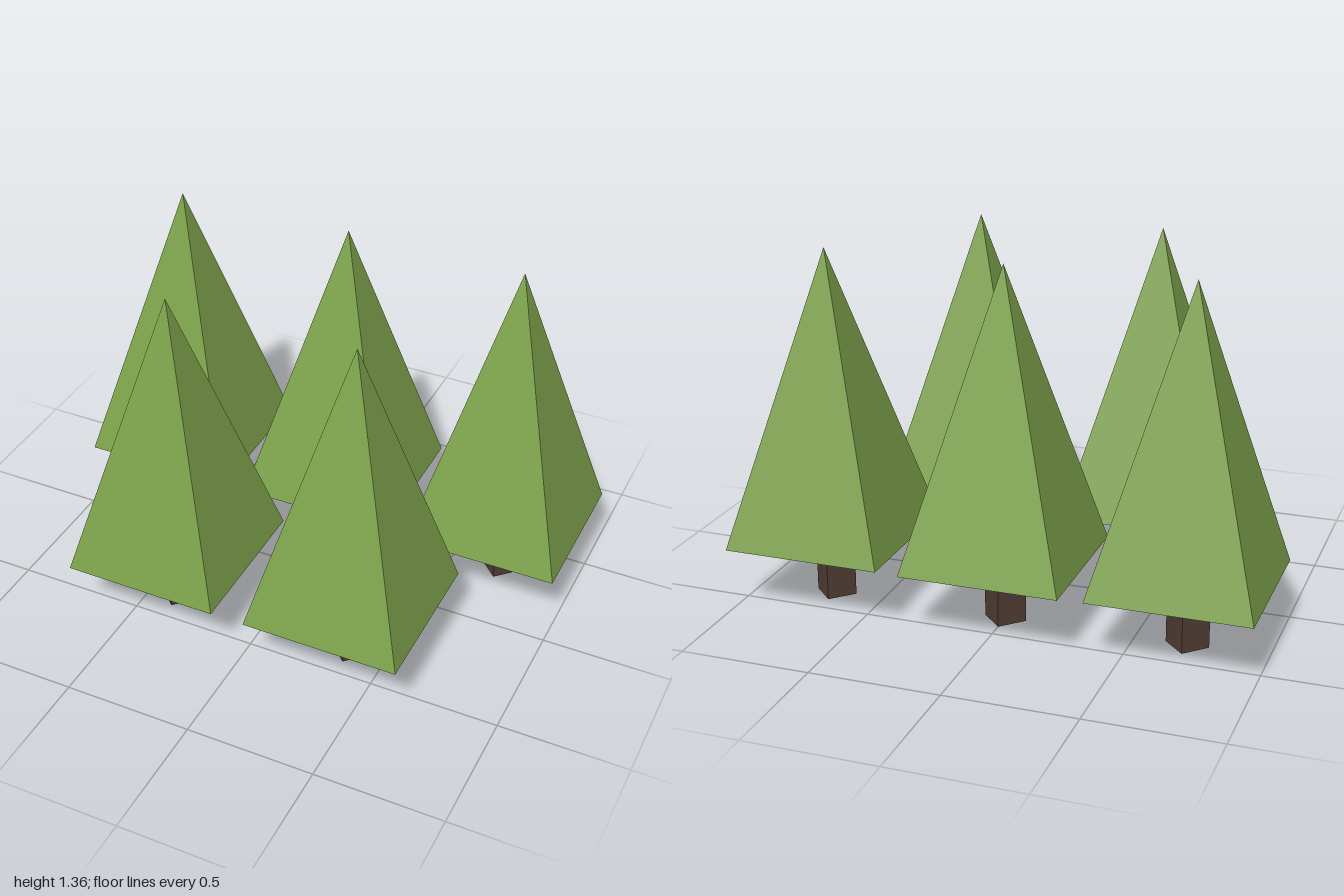
import * as THREE from 'three';

// Faceted copy of a geometry, so every side is shaded flat
function faceted(geometry) {
  const flat = geometry.toNonIndexed();
  flat.computeVertexNormals();
  return flat;
}

export function createModel() {
  const group = new THREE.Group();
  group.name = 'pineGrove';

  const leafGreen = new THREE.MeshStandardMaterial({ color: 0x7ca24a, side: THREE.DoubleSide });
  leafGreen.name = 'leafGreen';
  const barkBrown = new THREE.MeshStandardMaterial({ color: 0x503c34 });
  barkBrown.name = 'barkBrown';

  const baseY = 0.25, tipY = 1.36, half = 0.303;
  const trunkTop = 0.36;

  // Open-bottomed four-sided pyramid, sides square to the axes
  const crownGeometry = faceted(
    new THREE.ConeGeometry(half * Math.SQRT2, tipY - baseY, 4, 1, true)
      .rotateY(Math.PI / 4)
      .translate(0, (baseY + tipY) / 2, 0));

  // Square trunk turned corner-first, reaching up inside the crown
  const trunkGeometry = faceted(
    new THREE.CylinderGeometry(0.081, 0.081, trunkTop, 4)
      .translate(0, trunkTop / 2, 0));

  // Tree positions [x, z]: two in front, three behind
  const places = [
    [-0.38, 0.357], [0.357, 0.357],
    [-0.697, -0.347], [0, -0.357], [0.697, -0.347],
  ];
  places.forEach(([x, z], i) => {
    const tree = new THREE.Group();
    tree.name = `tree${i + 1}`;
    const crown = new THREE.Mesh(crownGeometry, leafGreen);
    crown.name = 'crown';
    const trunk = new THREE.Mesh(trunkGeometry, barkBrown);
    trunk.name = 'trunk';
    tree.add(crown, trunk);
    tree.position.set(x, 0, z);
    group.add(tree);
  });

  return group;
}
